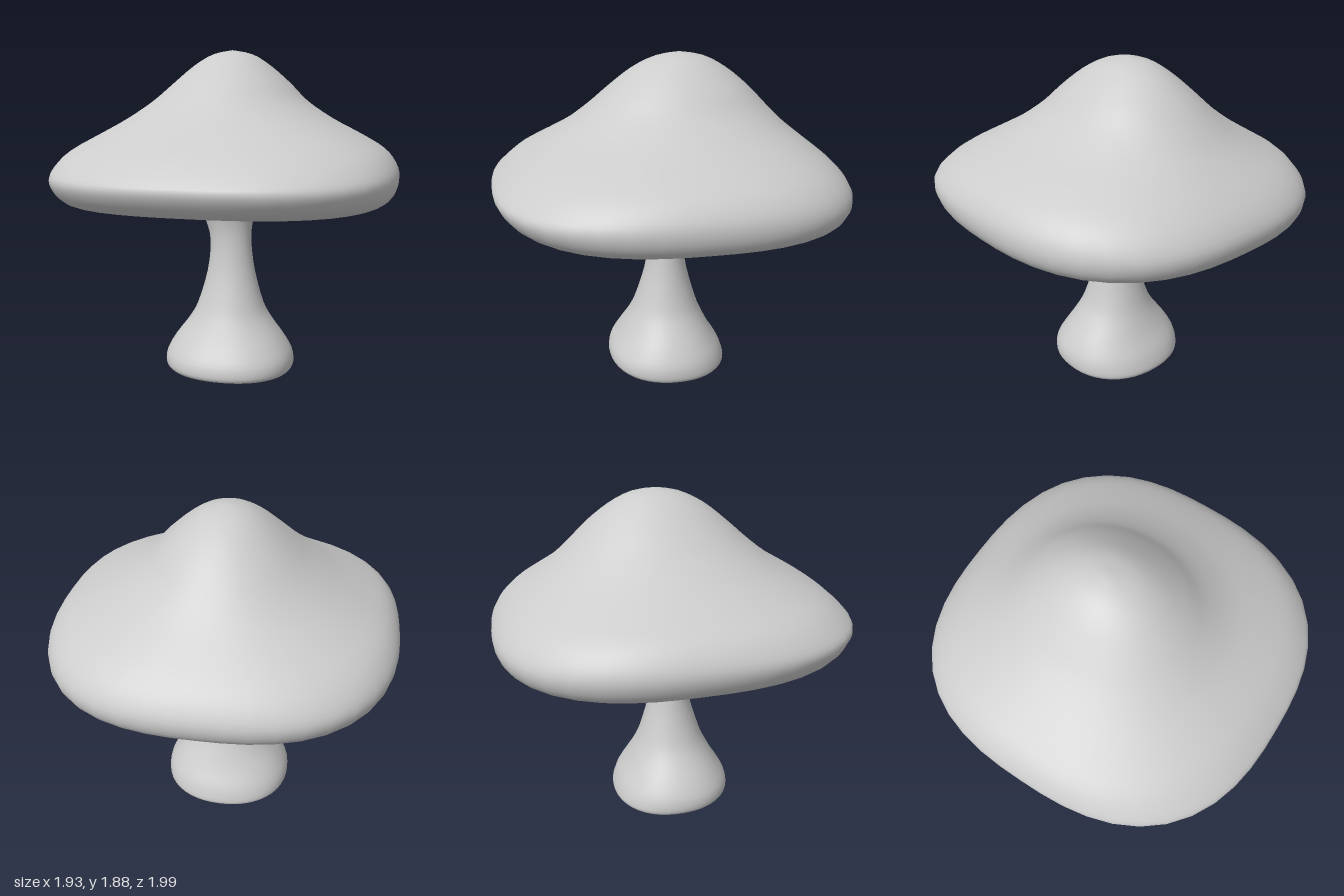
import * as THREE from 'three';
import { mergeVertices } from 'three/addons/utils/BufferGeometryUtils.js';

const SEGMENTS = 48;

// Catmull-Rom interpolation between four values
function spline(a, b, c, d, t) {
  const cubic = 3 * (b - c) + d - a;
  const square = 2 * a - 5 * b + 4 * c - d;
  return b + 0.5 * t * (c - a + t * (square + t * cubic));
}

// Insert interpolated rings, giving a smooth profile
function refine(rings, steps) {
  const out = [];
  for (let i = 0; i < rings.length - 1; i++) {
    const a = rings[Math.max(i - 1, 0)], b = rings[i], c = rings[i + 1];
    const d = rings[Math.min(i + 2, rings.length - 1)];
    for (let k = 0; k < steps; k++) {
      out.push(b.map((v, j) => spline(a[j], v, c[j], d[j], k / steps)));
    }
  }
  out.push(rings[rings.length - 1]);
  return out;
}

// Skin over superellipse rings, listed from the underside outwards and up:
// [y, extent to -x, extent to +x, extent to +z, extent to -z, squareness, tilt along z]
function loft(rings) {
  const positions = [], index = [];
  for (const [y, xNeg, xPos, zPos, zNeg, n, tilt] of rings) {
    for (let j = 0; j < SEGMENTS; j++) {
      const angle = (j / SEGMENTS) * Math.PI * 2;
      const c = Math.cos(angle), s = Math.sin(angle);
      const r = Math.pow(Math.abs(c) ** n + Math.abs(s) ** n, -1 / n);
      const x = (xPos - xNeg) / 2 + (xPos + xNeg) / 2 * r * c;
      const z = (zPos - zNeg) / 2 + (zPos + zNeg) / 2 * r * s;
      positions.push(x, y + tilt * z, z);
    }
  }
  for (let i = 0; i < rings.length - 1; i++) {
    for (let j = 0; j < SEGMENTS; j++) {
      const k = (j + 1) % SEGMENTS;
      const a = i * SEGMENTS + j, b = i * SEGMENTS + k;
      const c = a + SEGMENTS, d = b + SEGMENTS;
      index.push(a, c, b, b, c, d);
    }
  }
  let geometry = new THREE.BufferGeometry();
  geometry.setAttribute('position', new THREE.Float32BufferAttribute(positions, 3));
  geometry.setIndex(index);
  geometry = mergeVertices(geometry, 1e-5);
  geometry.computeVertexNormals();
  return geometry;
}

export function createModel() {
  const group = new THREE.Group();
  const material = new THREE.MeshStandardMaterial({ color: 0xcccccc });
  const add = (name, geometry) => {
    const mesh = new THREE.Mesh(geometry, material);
    mesh.name = name;
    group.add(mesh);
  };

  // Cap: underside, rounded squarish rim, then the domed top leaning back
  const cap = [
    [1.060, 0, 0, 0, 0, 2.2, 0.02],
    [1.055, 0.35, 0.35, 0.36, 0.36, 2.2, 0.02],
    [1.048, 0.65, 0.65, 0.67, 0.67, 2.4, 0.02],
    [1.040, 0.84, 0.84, 0.86, 0.88, 2.6, 0.02],
    [1.060, 0.91, 0.91, 0.92, 0.95, 2.6, 0.02],
    [1.110, 0.95, 0.95, 0.97, 0.99, 2.6, 0.02],
    [1.180, 0.967, 0.963, 0.995, 0.997, 2.6, 0.015],
    [1.250, 0.945, 0.945, 0.955, 0.95, 2.55, 0],
    [1.330, 0.88, 0.88, 0.86, 0.87, 2.45, 0],
    [1.410, 0.75, 0.75, 0.73, 0.77, 2.3, 0],
    [1.500, 0.60, 0.58, 0.58, 0.66, 2.15, 0],
    [1.600, 0.455, 0.43, 0.45, 0.56, 2.1, 0],
    [1.700, 0.34, 0.33, 0.335, 0.46, 2.1, 0],
    [1.800, 0.225, 0.215, 0.205, 0.335, 2.05, 0],
    [1.865, 0.12, 0.11, 0.07, 0.21, 2, 0],
    [1.890, 0.01, -0.01, -0.07, 0.07, 2, 0],
  ];
  add('cap', loft(refine(cap, 3)));

  // Stem: bulging foot, narrow waist, flare into the underside of the cap
  const stem = [
    [0.015, 0.37, 0.37, 0.355, 0.335, 2.2, 0.025],
    [0.040, 0.387, 0.383, 0.367, 0.343, 2.2, 0.025],
    [0.110, 0.378, 0.375, 0.355, 0.315, 2.2, 0],
    [0.200, 0.325, 0.325, 0.30, 0.26, 2.2, 0],
    [0.300, 0.25, 0.255, 0.245, 0.21, 2.1, 0],
    [0.400, 0.195, 0.20, 0.20, 0.17, 2.1, 0],
    [0.600, 0.137, 0.147, 0.14, 0.115, 2, 0],
    [0.780, 0.12, 0.125, 0.115, 0.09, 2, 0],
    [0.900, 0.148, 0.135, 0.12, 0.09, 2, 0],
    [0.980, 0.18, 0.165, 0.145, 0.105, 2, 0],
    [1.025, 0.225, 0.22, 0.20, 0.13, 2, 0],
    [1.050, 0.31, 0.30, 0.28, 0.20, 2, 0],
    [1.063, 0.42, 0.42, 0.38, 0.30, 2, 0.01],
  ];
  add('stem', loft(refine(stem, 3)));

  // Flat sole with a crisp edge against the foot
  add('stemBase', loft([[0.015, 0, 0, 0.01, -0.01, 2.2, 0.025], stem[0]]));

  return group;
}
